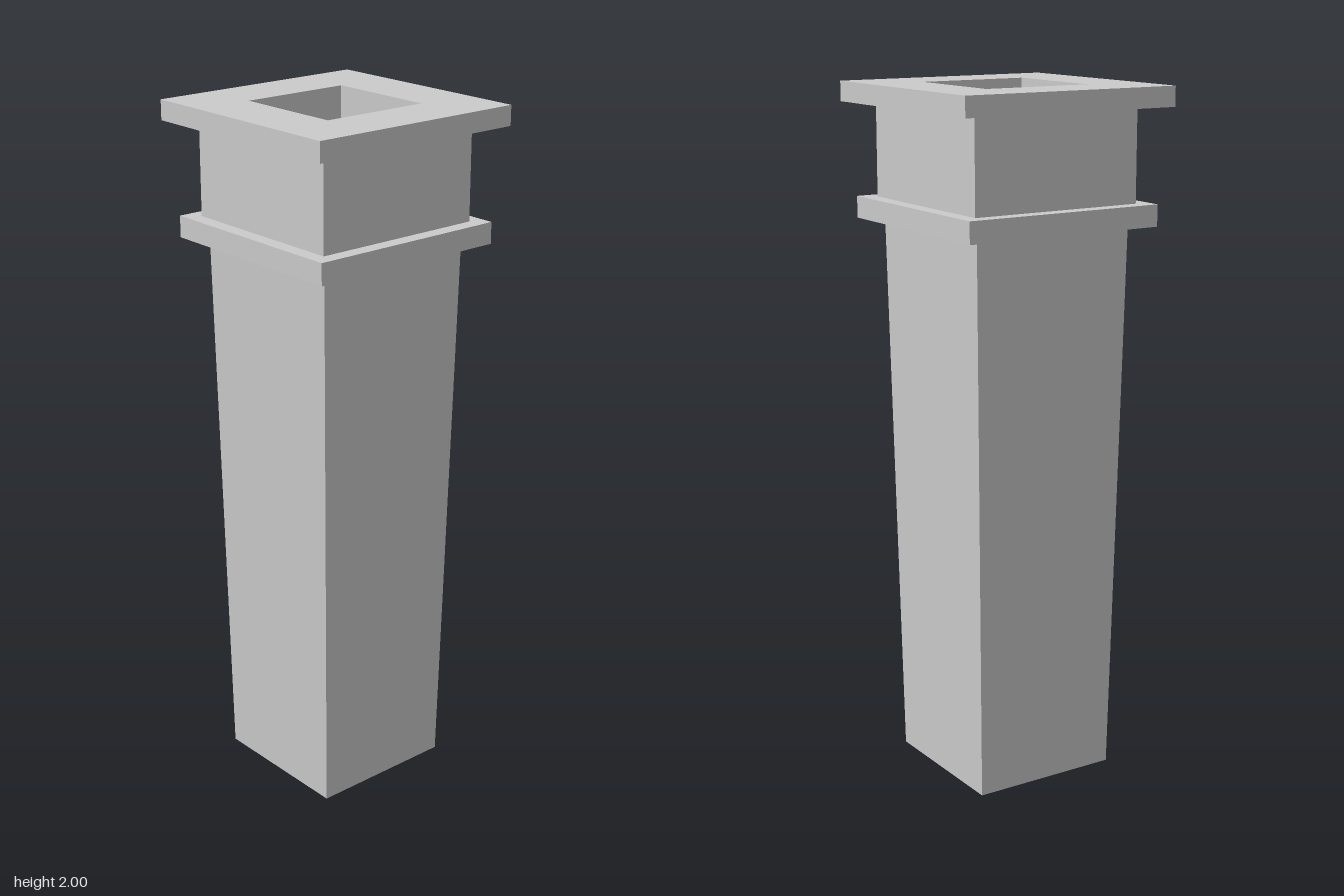
import * as THREE from 'three';

// Square section swept round the y axis; profile is [half-width, y], outside running upward.
function squareLathe(name, profile, material) {
  const points = profile.map(([half, y]) => new THREE.Vector2(half * Math.SQRT2, y));
  const geometry = new THREE.LatheGeometry(points, 4, Math.PI / 4).toNonIndexed();
  geometry.computeVertexNormals();
  const mesh = new THREE.Mesh(geometry, material);
  mesh.name = name;
  return mesh;
}

export function createModel() {
  const group = new THREE.Group();
  group.name = 'taperedPost';
  const material = new THREE.MeshStandardMaterial({ color: 0xcccccc, flatShading: true });

  const hole = 0.165, floor = 1.615;
  const shaftTop = 1.615, collarTop = 1.677, capBottom = 1.943, top = 2;
  const shaft = 0.247, collar = 0.305, neck = 0.262, cap = 0.335;

  group.add(
    // Tapered shaft, closed underneath
    squareLathe('shaft', [[0, 0], [0.22, 0], [shaft, shaftTop]], material),
    // Projecting band above the shaft
    squareLathe('collar', [[shaft, shaftTop], [collar, shaftTop], [collar, collarTop], [neck, collarTop]], material),
    // Straight block between the band and the cap
    squareLathe('neck', [[neck, collarTop], [neck, capBottom]], material),
    // Overhanging cap with a square opening
    squareLathe('cap', [[neck, capBottom], [cap, capBottom], [cap, top], [hole, top]], material),
    // Inner walls and floor of the opening
    squareLathe('socket', [[hole, top], [hole, floor], [0, floor]], material),
  );
  return group;
}
